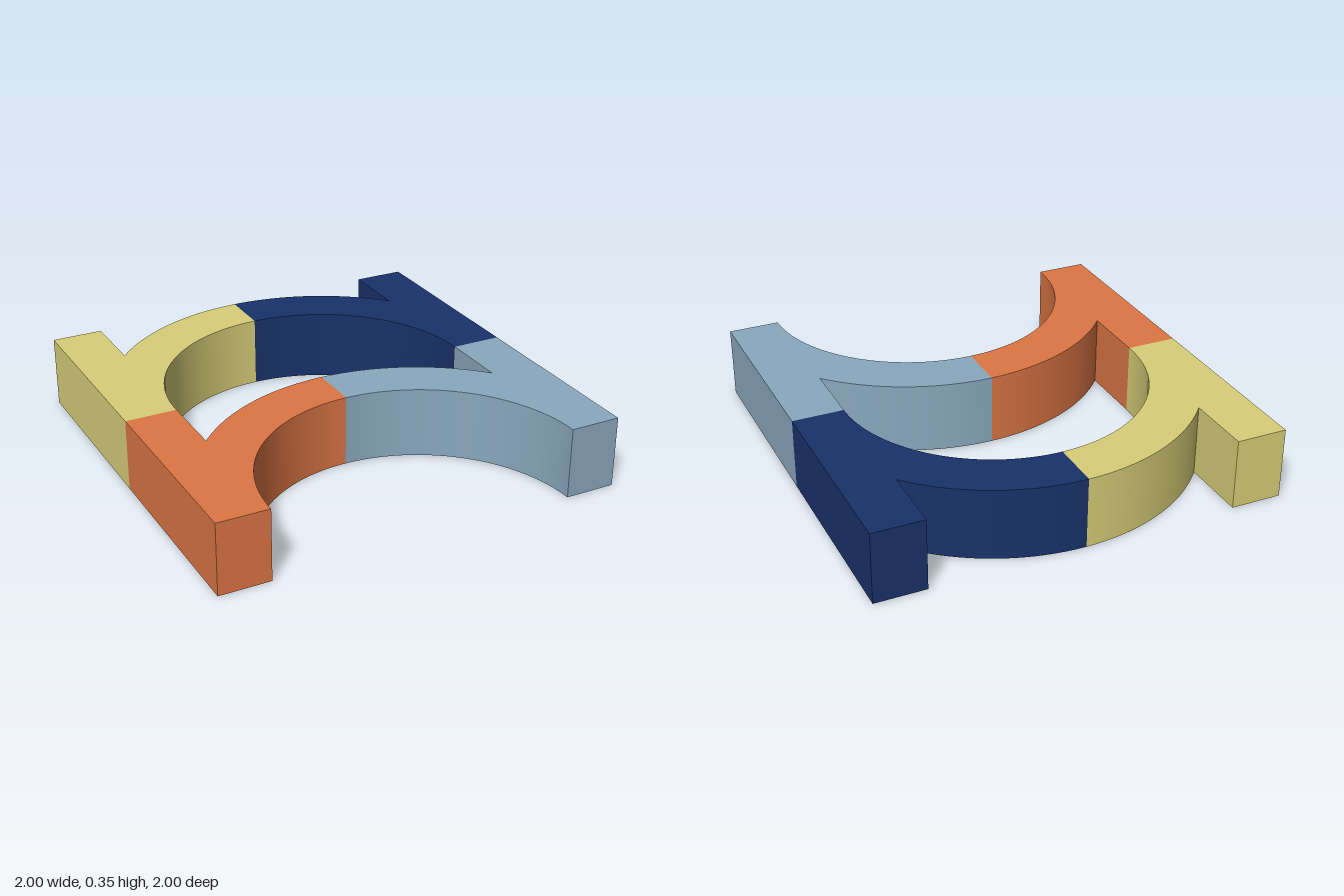
import * as THREE from 'three';
import { toCreasedNormals } from 'three/addons/utils/BufferGeometryUtils.js';

const OUTER = 1, INNER = 0.75, HEIGHT = 0.35;

// One half of an arch: a straight leg joined to a quarter ring (side: +1 left, -1 right)
function halfArch(side) {
  const angle = (a) => (side > 0 ? a : Math.PI - a);
  const meet = Math.acos(INNER / OUTER); // where the ring runs into the leg
  const s = new THREE.Shape();
  s.moveTo(0, INNER);
  s.lineTo(0, OUTER);
  s.absarc(0, 0, OUTER, angle(Math.PI / 2), angle(meet), side > 0);
  s.lineTo(side * INNER, OUTER);
  s.lineTo(side * OUTER, OUTER);
  s.lineTo(side * OUTER, 0);
  s.lineTo(side * INNER, 0);
  s.absarc(0, 0, INNER, angle(0), angle(Math.PI / 2), side < 0);
  const geo = new THREE.ExtrudeGeometry(s, { depth: HEIGHT, bevelEnabled: false, curveSegments: 40 });
  geo.rotateX(-Math.PI / 2); // lay flat, arch crown towards the back
  return toCreasedNormals(geo, 0.5);
}

export function createModel() {
  const model = new THREE.Group();
  model.name = 'interlockingArches';

  // Two arches, one behind the other, each made of two coloured halves
  const parts = [
    ['frontArchRight', -1, 1, 0xdc7644],
    ['frontArchLeft', 1, 1, 0x89a8be],
    ['backArchRight', -1, 0, 0xd8cf78],
    ['backArchLeft', 1, 0, 0x19326a],
  ];
  for (const [name, side, z, color] of parts) {
    const mesh = new THREE.Mesh(halfArch(side), new THREE.MeshStandardMaterial({ color }));
    mesh.name = name;
    mesh.position.z = z;
    model.add(mesh);
  }
  return model;
}
